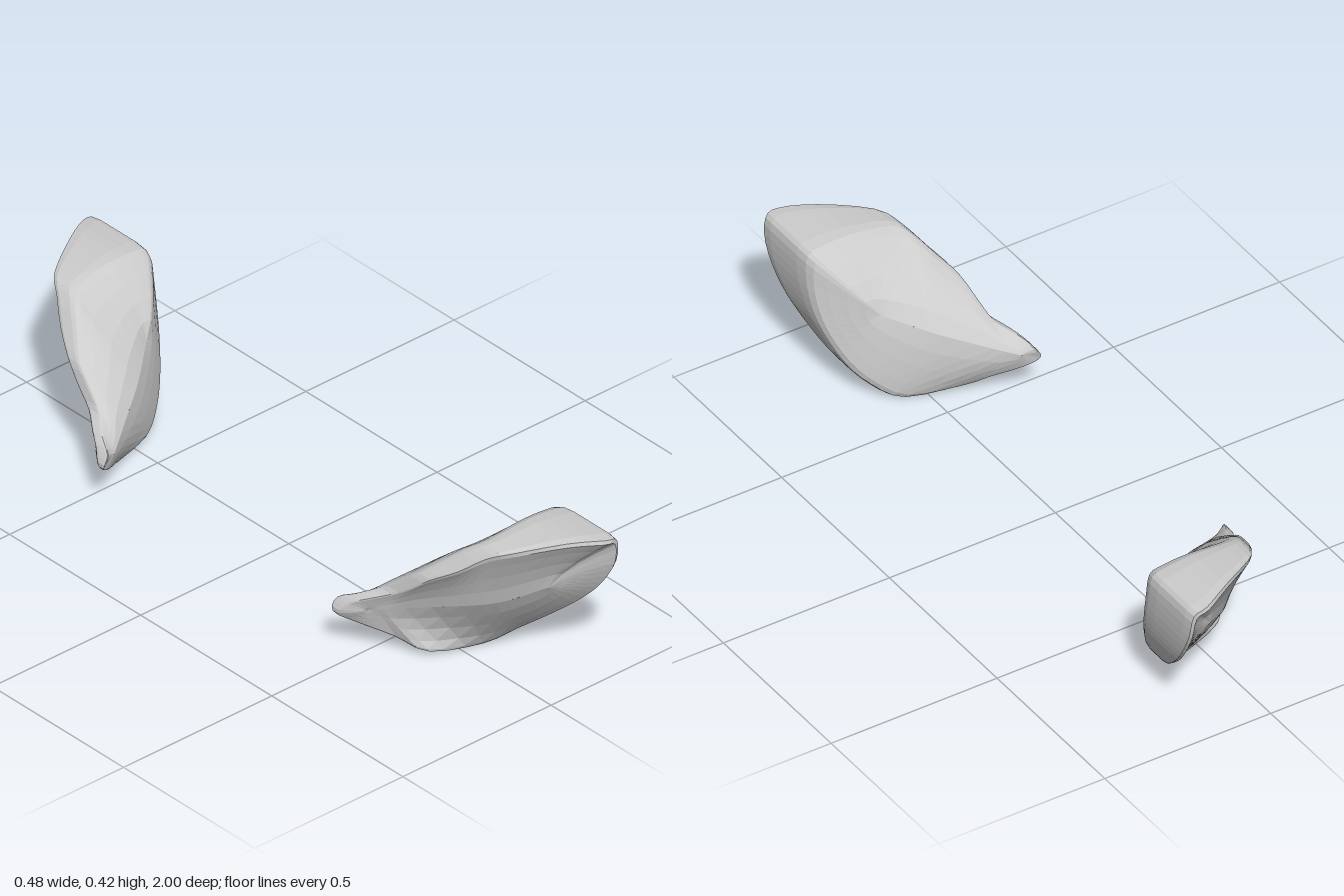
import * as THREE from 'three';

// Outline of one tilted slab seen from the front: x, y, inner z, outer z
const rim = [
  [-0.24, 0.115, 0.435, 0.455], [-0.225, 0.15, 0.435, 0.48], [-0.2, 0.174, 0.485, 0.525],
  [-0.165, 0.2, 0.535, 0.58], [-0.15, 0.24, 0.59, 0.64], [-0.135, 0.285, 0.645, 0.695],
  [-0.1, 0.33, 0.695, 0.765], [-0.06, 0.38, 0.75, 0.825], [-0.02, 0.405, 0.785, 0.88],
  [0.1, 0.42, 0.79, 0.96], [0.19, 0.415, 0.79, 1.012], [0.23, 0.4, 0.79, 1.012],
  [0.238, 0.33, 0.785, 1.0], [0.232, 0.25, 0.765, 0.955], [0.215, 0.18, 0.735, 0.895],
  [0.18, 0.1, 0.69, 0.805], [0.13, 0.04, 0.645, 0.73], [0.06, 0, 0.605, 0.68],
  [-0.08, 0.013, 0.555, 0.635], [-0.13, 0.045, 0.515, 0.56], [-0.2, 0.085, 0.46, 0.485],
];
// Middle line of the slab from the tip to the broad end, same columns
const spine = [
  [-0.19, 0.133, 0.45, 0.515], [-0.1, 0.165, 0.51, 0.645],
  [0, 0.205, 0.575, 0.79], [0.1, 0.25, 0.655, 0.875],
];
const SEGMENTS = 63;

// Rings from the inner middle over the rim to the outer middle:
// scale of the outline, and how far from inner (0) to outer (1) surface
const rings = [
  [0, 0], [0.25, 0], [0.5, 0], [0.75, 0], [0.92, 0], [0.98, 0.06], [1, 0.22],
  [1, 0.5],
  [1, 0.78], [0.98, 0.94], [0.92, 1], [0.75, 1], [0.5, 1], [0.25, 1], [0, 1],
];

function curve(table, zIndex, closed) {
  const points = table.map((p) => new THREE.Vector3(p[0], p[1], p[zIndex]));
  return new THREE.CatmullRomCurve3(points, closed, 'catmullrom', 0.5);
}

// Pairs of rim and spine points for the surface stored in one column
function ribs(zIndex) {
  const line = curve(spine, zIndex, false);
  return curve(rim, zIndex, true).getPoints(SEGMENTS).map((edge) => {
    const along = 0.9 * (edge.x + 0.19) + 0.37 * (edge.y - 0.133);
    const middle = line.getPoint(THREE.MathUtils.smoothstep(along, -0.04, 0.4));
    return { edge, middle };
  });
}

function slabGeometry(side) {
  const inner = ribs(2);
  const outer = ribs(3);
  const positions = [];
  const index = [];

  for (const [scale, depth] of rings) {
    const dome = Math.pow(scale, 1.4);
    for (let i = 0; i < SEGMENTS; i++) {
      const { edge, middle } = inner[i];
      const zInner = THREE.MathUtils.lerp(middle.z, edge.z, dome);
      const zOuter = THREE.MathUtils.lerp(outer[i].middle.z, outer[i].edge.z, dome);
      positions.push(
        THREE.MathUtils.lerp(middle.x, edge.x, scale),
        THREE.MathUtils.lerp(middle.y, edge.y, scale),
        side * THREE.MathUtils.lerp(zInner, zOuter, depth),
      );
    }
  }

  // Mirrored side needs the opposite corner order
  const triangle = (a, b, c) => (side > 0 ? index.push(a, b, c) : index.push(a, c, b));
  for (let r = 0; r < rings.length - 1; r++) {
    for (let i = 0; i < SEGMENTS; i++) {
      const a = r * SEGMENTS + i;
      const b = r * SEGMENTS + ((i + 1) % SEGMENTS);
      triangle(a, a + SEGMENTS, b);
      triangle(b, a + SEGMENTS, b + SEGMENTS);
    }
  }

  const geometry = new THREE.BufferGeometry();
  geometry.setAttribute('position', new THREE.Float32BufferAttribute(positions, 3));
  geometry.setIndex(index);
  geometry.computeVertexNormals();
  return geometry;
}

export function createModel() {
  const group = new THREE.Group();
  group.name = 'slabPair';
  const material = new THREE.MeshStandardMaterial({ color: 0xcccccc, flatShading: true });

  // Front slab and its mirror image behind
  for (const [name, side] of [['frontSlab', 1], ['backSlab', -1]]) {
    const slab = new THREE.Mesh(slabGeometry(side), material);
    slab.name = name;
    group.add(slab);
  }
  return group;
}
